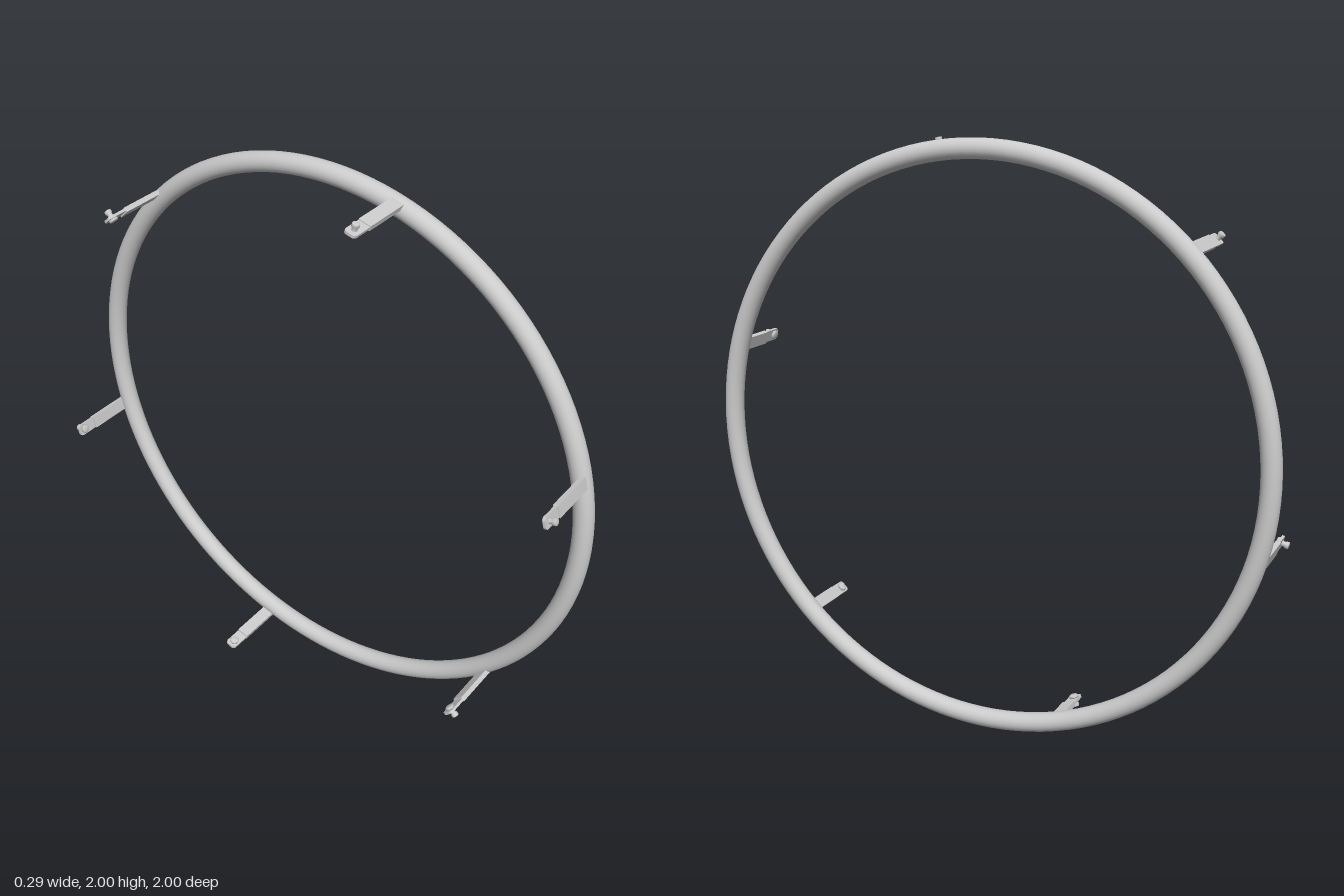
import * as THREE from 'three';

const RING_X = 0.11;
const mat = new THREE.MeshStandardMaterial({ color: 0xcccccc });

// Flat strip from x0 to x1 with rounded corners at the x0 end, thick along +z
function strip(x0, x1, width, corner, z0, z1) {
  const h = width / 2;
  const s = new THREE.Shape();
  s.moveTo(x1, -h);
  s.lineTo(x1, h);
  s.lineTo(x0 + corner, h);
  s.quadraticCurveTo(x0, h, x0, h - corner);
  s.lineTo(x0, -h + corner);
  s.quadraticCurveTo(x0, -h, x0 + corner, -h);
  const g = new THREE.ExtrudeGeometry(s, { depth: z1 - z0, bevelEnabled: false, curveSegments: 8 });
  return g.translate(0, 0, z0);
}

// Pin turned around the radial (z) direction
function pinGeometry() {
  const pts = [
    [0, 0.972], [0.013, 0.973], [0.016, 0.976], [0.016, 0.983],
    [0.009, 0.983], [0.009, 1.002], [0.012, 1.004], [0.012, 1.013], [0.01, 1.015], [0, 1.015],
  ].map(([r, y]) => new THREE.Vector2(r, y));
  return new THREE.LatheGeometry(pts, 20).rotateX(Math.PI / 2);
}

function add(parent, name, geometry) {
  const mesh = new THREE.Mesh(geometry, mat);
  mesh.name = name;
  parent.add(mesh);
  return mesh;
}

export function createModel() {
  const model = new THREE.Group();
  model.name = 'handRim';

  // Round tubular hoop facing sideways
  const hoop = add(model, 'hoop', new THREE.TorusGeometry(0.967, 0.033, 24, 128).rotateY(Math.PI / 2));
  hoop.position.set(RING_X, 1, 0);

  // Six mounting tabs around the hoop, each with a thin end plate and a pin
  const sleeve = strip(-0.076, 0.1, 0.044, 0.003, 0.977, 0.994);
  const plate = strip(-0.15, -0.07, 0.042, 0.014, 0.982, 0.991);
  const pin = pinGeometry().translate(-0.125, 0, 0);
  for (let i = 0; i < 6; i++) {
    const tab = new THREE.Group();
    tab.name = 'mountingTab' + (i + 1);
    add(tab, 'tabArm', sleeve);
    add(tab, 'tabEndPlate', plate);
    add(tab, 'tabPin', pin);
    tab.position.y = 1;
    tab.rotation.x = -THREE.MathUtils.degToRad(15 + 60 * i);
    model.add(tab);
  }
  return model;
}
